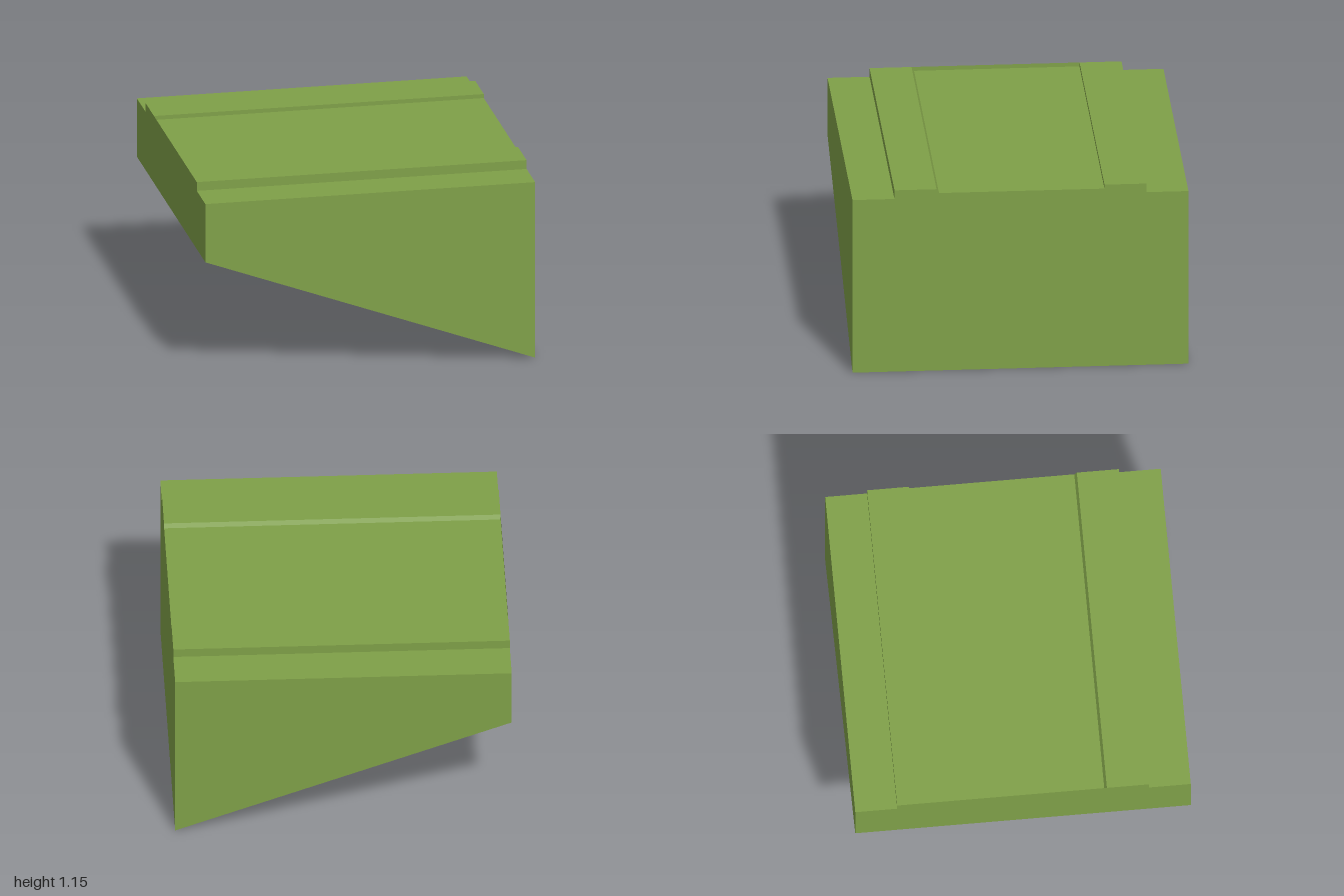
import * as THREE from 'three';

const TOP = 1.155, SHOULDER = 1.1, FLOOR = 1.13, CEILING = 0.735;

export function createModel() {
  const group = new THREE.Group();
  const material = new THREE.MeshStandardMaterial({ color: 0x7fa048, side: THREE.DoubleSide });

  // Cross-section across the width, as [-z, y]: two legs, stepped top, shallow channel
  const profile = [
    [-1, 0], [-0.5, 0], [-0.5, CEILING], [0.5, CEILING], [0.5, 0], [1, 0],
    [1, SHOULDER], [0.75, SHOULDER], [0.75, TOP], [0.5, TOP],
    [0.5, FLOOR], [-0.485, FLOOR], [-0.5, TOP],
    [-0.75, TOP], [-0.75, SHOULDER], [-1, SHOULDER],
  ];
  const shape = new THREE.Shape(profile.map(([u, y]) => new THREE.Vector2(u, y)));
  const geometry = new THREE.ExtrudeGeometry(shape, { depth: 2, bevelEnabled: false });
  geometry.translate(0, 0, -1).rotateY(Math.PI / 2);

  // Raise the feet of the legs at the shallow end so the underside slopes
  const pos = geometry.attributes.position;
  for (let i = 0; i < pos.count; i++) {
    if (pos.getY(i) < 0.001 && pos.getX(i) < 0) pos.setY(i, CEILING);
  }
  geometry.computeVertexNormals();
  const body = new THREE.Mesh(geometry, material);
  body.name = 'wedgeBody';
  group.add(body);

  // Thin sheets closing the hollow underside and one end of the top channel
  const addSheet = (name, x, y0, y1) => {
    const sheet = new THREE.Mesh(new THREE.PlaneGeometry(1, y1 - y0), material);
    sheet.name = name;
    sheet.rotation.y = Math.sign(x) * Math.PI / 2;
    sheet.position.set(x, (y0 + y1) / 2, 0);
    group.add(sheet);
  };
  addSheet('tallEndSkin', 1, 0, CEILING);
  addSheet('channelEndLip', -1, FLOOR, TOP);

  return group;
}
